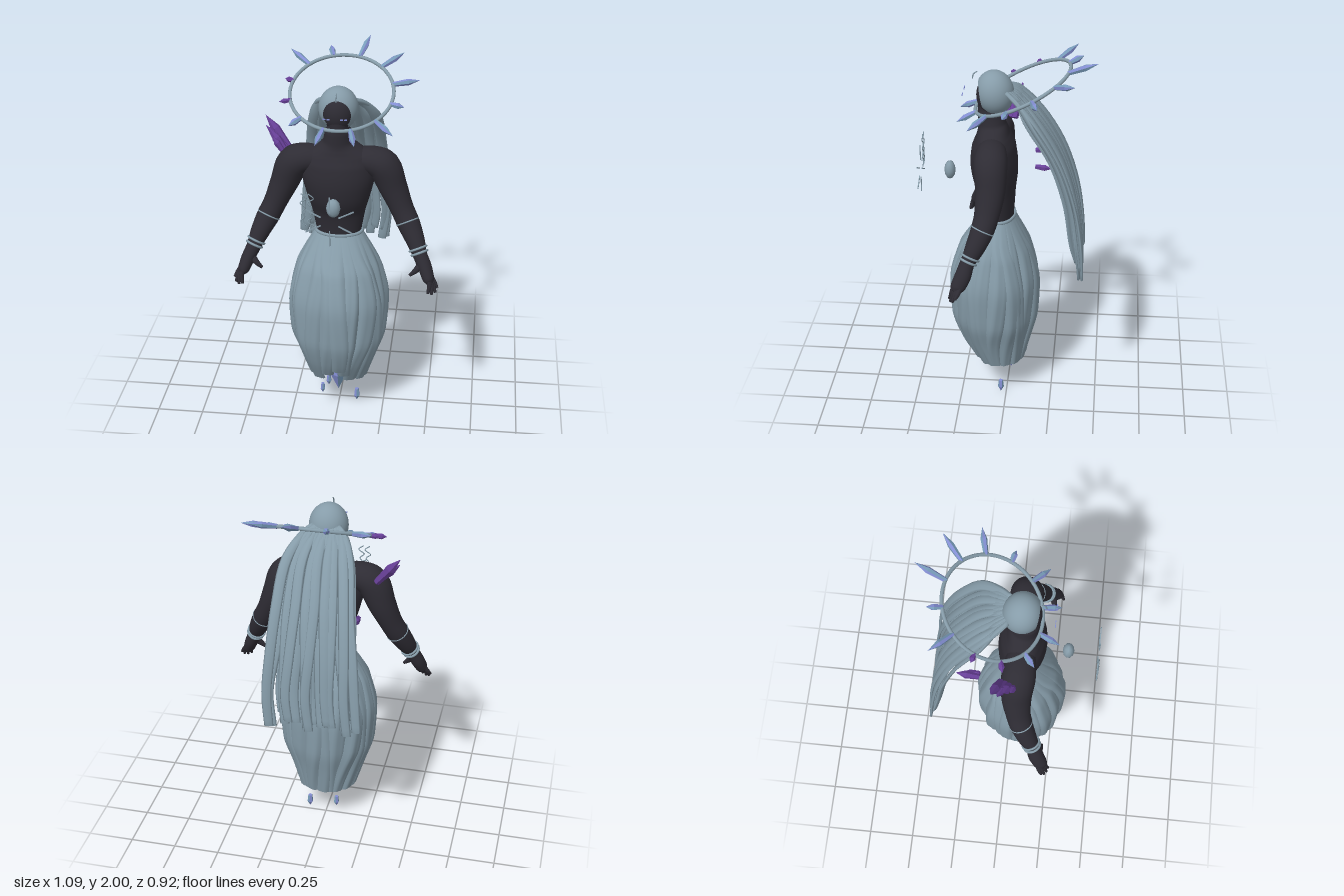
import * as THREE from 'three';

const V = (x, y, z) => new THREE.Vector3(x, y, z);
const cloth = new THREE.MeshStandardMaterial({ color: 0x869ca9, side: THREE.DoubleSide });
cloth.name = 'greyCloth';
const skin = new THREE.MeshStandardMaterial({ color: 0x2e2c34 });
skin.name = 'darkSkin';
const blue = new THREE.MeshStandardMaterial({ color: 0x838ed2 });
blue.name = 'lavenderBlueCrystal';
const teal = new THREE.MeshStandardMaterial({ color: 0x789cba });
teal.name = 'tealCrystal';
const purple = new THREE.MeshStandardMaterial({ color: 0x684098 });
purple.name = 'purpleCrystal';
const ICE = [blue, teal], AMETHYST = [purple, purple];

function build(pos, idx) {
  const g = new THREE.BufferGeometry();
  g.setAttribute('position', new THREE.Float32BufferAttribute(pos, 3));
  g.setIndex(idx);
  g.computeVertexNormals();
  return g;
}

// Elliptical sections [x, y, z, halfWidth, halfDepth] swept along a smooth path; width follows ref
function sweep(sections, ref, sides = 16, steps = 30) {
  const path = new THREE.CatmullRomCurve3(sections.map(s => V(s[0], s[1], s[2])));
  const size = new THREE.CatmullRomCurve3(sections.map(s => V(s[3], s[4], 0)));
  const pos = [], idx = [];
  for (let i = 0; i <= steps; i++) {
    const c = path.getPoint(i / steps), s = size.getPoint(i / steps), t = path.getTangent(i / steps);
    const a = ref.clone().addScaledVector(t, -t.dot(ref)).normalize();
    const b = t.clone().cross(a);
    for (let j = 0; j < sides; j++) {
      const q = j / sides * Math.PI * 2;
      const p = c.clone().addScaledVector(a, s.x * Math.cos(q)).addScaledVector(b, s.y * Math.sin(q));
      pos.push(p.x, p.y, p.z);
      const k = i * sides + j, n = i * sides + (j + 1) % sides;
      if (i < steps) idx.push(k, n, k + sides, n, n + sides, k + sides);
    }
  }
  const first = path.getPoint(0), last = path.getPoint(1), m = (steps + 1) * sides;
  pos.push(first.x, first.y, first.z, last.x, last.y, last.z);
  for (let j = 0; j < sides; j++) {
    const n = (j + 1) % sides, e = steps * sides;
    idx.push(m, n, j, m + 1, e + j, e + n);
  }
  return build(pos, idx);
}

// Faceted six-sided shard with a long body, a pointed end and alternating face colours
function crystal(from, to, r, mats, name) {
  const len = from.distanceTo(to);
  const g = new THREE.CylinderGeometry(0, r * 0.7, len, 6, 2), p = g.attributes.position;
  for (let i = 0; i < p.count; i++) {
    if (Math.abs(p.getY(i)) < len * 0.1) p.setXYZ(i, p.getX(i) / 0.35, len * 0.08, p.getZ(i) / 0.35);
  }
  const flat = g.toNonIndexed();
  flat.computeVertexNormals();
  flat.clearGroups();
  for (let i = 0; i < 6; i++) flat.addGroup(i * 9, 9, i % 2);
  flat.addGroup(54, 18, 0);
  const m = new THREE.Mesh(flat, mats);
  m.name = name;
  m.position.copy(from).lerp(to, 0.5);
  m.quaternion.setFromUnitVectors(V(0, 1, 0), to.clone().sub(from).normalize());
  return m;
}

// Skirt profile: [y, radiusX, radiusZ, centreZ]
const skirtRows = [[1.1, .123, .083, .045], [1.0, .178, .14, .055], [.9, .222, .19, .065], [.7, .26, .235, .07],
  [.5, .247, .228, .07], [.35, .2, .19, .063], [.21, .158, .138, .04]];
const skirtRadii = new THREE.CatmullRomCurve3(skirtRows.map(r => V(r[1], r[2], r[3])));
const skirtHeights = new THREE.CatmullRomCurve3(skirtRows.map(r => V(0, r[0], 0)));

// One bulging skirt panel that drifts sideways on its way down, its edges tucked under its neighbours
function skirtPanel(i, count) {
  const centre = i / count * Math.PI * 2, W = 10, H = 32, pos = [], idx = [];
  const lift = 0.12 * Math.max(0, Math.sin(centre)) ** 10;
  for (let r = 0; r <= H; r++) for (let c = 0; c <= W; c++) {
    const v = r / H * (1 - lift), s = c / W * 2 - 1;
    const drift = (0.1 * Math.sin(v * 5 + i * 1.9) + 0.12 * Math.sin(v * 3.2)) * Math.min(1, v * 3);
    const q = centre - drift + s * (0.27 + 0.03 * Math.sin(i * 2.7));
    const size = skirtRadii.getPoint(v);
    const f = 1 + Math.min(1, v * 3) * (0.035 - 0.1 * s * s + 0.018 * Math.sin(i * 2.3 + v * 4) + 0.012 * Math.sin(s * 7 + i));
    pos.push(size.x * f * Math.cos(q), skirtHeights.getPoint(v).y, size.z + size.y * f * Math.sin(q));
    const k = r * (W + 1) + c, d = k + W + 1;
    if (r < H && c < W) idx.push(k, k + 1, d, k + 1, d + 1, d);
  }
  return build(pos, idx);
}

export function createModel() {
  const model = new THREE.Group();
  model.name = 'floatingFigure';
  const add = (name, geo, mat, parent = model) => {
    const m = new THREE.Mesh(geo, mat);
    m.name = name;
    parent.add(m);
    return m;
  };
  const X = V(1, 0, 0), Z = V(0, 0, 1);

  // Torso and neck
  add('torso', sweep([[0, 1.04, .045, .11, .075], [0, 1.12, .045, .122, .08], [0, 1.22, .05, .14, .092],
    [0, 1.32, .064, .167, .118], [0, 1.42, .071, .189, .123], [0, 1.5, .072, .19, .113], [0, 1.55, .074, .175, .092],
    [0, 1.585, .076, .125, .08], [0, 1.62, .08, .078, .072], [0, 1.68, .085, .068, .07], [0, 1.76, .085, .068, .07]],
  X, 32, 50), skin);

  // Arms, hands and bracelets
  for (const s of [1, -1]) {
    const arm = new THREE.Group();
    arm.name = s > 0 ? 'leftArm' : 'rightArm';
    model.add(arm);
    const limb = (name, pts, sides, steps) =>
      add(name, sweep(pts.map(p => [p[0] * s, ...p.slice(1)]), Z, sides, steps), skin, arm);
    limb('armLimb', [[.1, 1.515, .072, .07, .065], [.175, 1.512, .07, .082, .076], [.232, 1.483, .068, .086, .086],
      [.285, 1.365, .065, .077, .074], [.335, 1.25, .08, .064, .061], [.37, 1.18, .1, .06, .06], [.41, 1.1, .135, .05, .05],
      [.44, 1.03, .17, .038, .038], [.468, .97, .19, .042, .036], [.49, .915, .215, .038, .031], [.502, .895, .222, .022, .018]], 20, 44);
    const tips = [[.537, .87, .225], [.528, .85, .24], [.51, .843, .252], [.49, .85, .258]];
    tips.forEach((t, i) => limb('finger', [[.488 + .004 * (1.5 - i), .935, .195 + .012 * i, .014, .014],
      [.508 + .008 * (1.5 - i), .895, .212 + .01 * i, .0135, .0135], [...t, .007, .007]], 8, 8));
    limb('thumb', [[.455, 1.0, .185, .02, .02], [.425, .96, .205, .017, .017], [.39, .928, .212, .008, .008]], 8, 8);
    const along = V(.07 * s, -.15, .07).normalize();
    for (const [x, y, z, r, w] of [[.436, 1.04, .165, .043, .0065], [.427, 1.06, .156, .046, .006], [.367, 1.185, .099, .0595, .004]]) {
      const ring = add('bracelet', new THREE.TorusGeometry(r, w, 8, 28), cloth, arm);
      ring.position.set(x * s, y, z);
      ring.quaternion.setFromUnitVectors(Z, along);
    }
  }

  // Hood with an open front, and the dark face inside
  const hood = add('hood', new THREE.SphereGeometry(1, 36, 24, 0, Math.PI * 2, 0.76, Math.PI - 0.76).rotateX(Math.PI / 2), cloth);
  hood.scale.set(.102, .116, .098);
  hood.position.set(0, 1.79, .065);
  hood.rotation.x = 0.17;
  const face = add('face', new THREE.SphereGeometry(1, 28, 20), skin);
  face.scale.set(.082, .104, .087);
  face.position.set(0, 1.775, .074);
  for (const s of [1, -1]) {
    for (const dx of [.033, .054]) add('eyeDash', new THREE.BoxGeometry(.014, .006, .004), blue).position.set(s * dx, 1.79, .227);
  }
  add('browArc', sweep([[0, 1.86, .18, .003, .003], [0, 1.885, .174, .004, .004], [0, 1.9, .155, .002, .002]], X, 6, 10), cloth);

  // Tilted halo ring with radiating shards
  const halo = new THREE.Group();
  halo.name = 'halo';
  halo.position.set(0, 1.82, -.077);
  halo.rotation.x = 0.45;
  model.add(halo);
  add('haloRing', new THREE.TorusGeometry(.268, .0095, 10, 72).rotateX(Math.PI / 2), cloth, halo);
  [.44, .43, .41, .34, .405, .38, .385, .35, .325, .315, .425, .35].forEach((len, i) => {
    const q = (15 + i * 30) * Math.PI / 180, dir = V(Math.sin(q), 0, -Math.cos(q));
    const mats = i === 8 || i === 9 ? AMETHYST : ICE;
    halo.add(crystal(dir.clone().multiplyScalar(.265), dir.clone().multiplyScalar(len),
      mats === ICE ? .017 : .015, mats, 'haloShard'));
  });

  // Long twisted ribbons of hair, in two layers fanning out behind and flaring at the ends
  for (let layer = 0; layer < 2; layer++) {
    const count = layer ? 8 : 13;
    for (let i = 0; i < count; i++) {
      const u = i / (count - 1) * 2 - 1, k = i * 2.4 + layer * 1.3, tilt = 0.5 * Math.sin(k * 1.3);
      const dz = layer * .022 + .014 * Math.sin(k * 1.7), jx = .022 * Math.sin(k), end = .85 + .025 * Math.sin(k * 2.1) + layer * .03;
      add('hairLock', sweep([[.065 * u, 1.81, .0, .016, .012], [.11 * u, 1.775, -.055, .021, .013],
        [.16 * u + .01, 1.675, -.145 + dz, .028, .012], [.185 * u + .005 - jx * .3, 1.47, -.27 + dz, .028, .01],
        [.215 * u + jx * .4, 1.235, -.35 + dz, .027, .009], [.235 * u + jx, 1.02, -.385 + dz, .026, .008],
        [.235 * u - .015 + jx * .7, end, -.4 + dz * .6, .024, .008]], V(Math.cos(tilt), 0, Math.sin(tilt)), 8, 28), cloth);
    }
  }

  // Skirt panels and waistband
  const skirt = new THREE.Group();
  skirt.name = 'skirt';
  model.add(skirt);
  for (let i = 0; i < 20; i++) add('skirtPanel', skirtPanel(i, 20), cloth, skirt);
  const band = add('waistband', new THREE.TorusGeometry(1, .08, 8, 48).rotateX(Math.PI / 2), cloth);
  band.scale.set(.122, .12, .085);
  band.position.set(0, 1.095, .045);

  // Shards hanging below the skirt
  const hanging = [[0, .36, .07, 0, .095, .07, .05], [-.07, .42, .13, -.085, .21, .155, .033], [.06, .4, .11, .07, .23, .13, .033],
    [.02, .42, .17, .01, .25, .19, .033], [-.05, .38, .02, -.06, .2, .02, .033], [.06, .38, .02, .07, .2, .01, .033]];
  const loose = [[-.08, .172, .14, -.08, .112, .14, .014], [-.065, .125, -.015, -.065, .06, -.015, .015], [.1, .075, .03, .1, .0, .03, .017]];
  for (const [a, b, c, d, e, f, r] of [...hanging, ...loose]) model.add(crystal(V(a, b, c), V(d, e, f), r, ICE, 'hangingShard'));

  // Purple shards on the right shoulder and behind the back
  const shoulder = [[-.27, 1.53, -.015, -.395, 1.69, -.05, .026], [-.28, 1.525, .03, -.365, 1.64, .01, .024],
    [-.29, 1.53, .05, -.345, 1.61, .045, .018], [-.275, 1.53, .01, -.39, 1.645, -.02, .022]];
  for (const [a, b, c, d, e, f, r] of shoulder) model.add(crystal(V(a, b, c), V(d, e, f), r, AMETHYST, 'shoulderShard'));
  model.add(crystal(V(-.2, 1.375, -.135), V(-.2, 1.405, -.25), .021, AMETHYST, 'backShard'));
  model.add(crystal(V(-.155, 1.3, -.135), V(-.155, 1.29, -.225), .018, AMETHYST, 'backShard'));

  // Floating chest gem, rays and crackle lines
  const gem = add('chestGem', new THREE.IcosahedronGeometry(1, 1), cloth);
  gem.scale.set(.037, .052, .03);
  gem.position.set(0, 1.342, .305);
  for (const deg of [90, 270, 27, -27, 153, 207]) {
    const q = deg * Math.PI / 180, ray = add('ray', new THREE.BoxGeometry(.085, .0065, .005), cloth);
    ray.position.set(Math.cos(q) * .092, 1.342 + Math.sin(q) * .092, .46);
    ray.rotation.z = q;
  }
  for (const x of [-.13, -.095]) {
    const pts = [];
    for (let i = 0; i < 8; i++) pts.push([x + (i % 2 ? .011 : -.011) + .006 * Math.sin(i * 2), 1.49 - i * .025, .46, .003, .003]);
    add('crackleLine', sweep(pts, Z, 5, 28), cloth);
  }
  return model;
}
